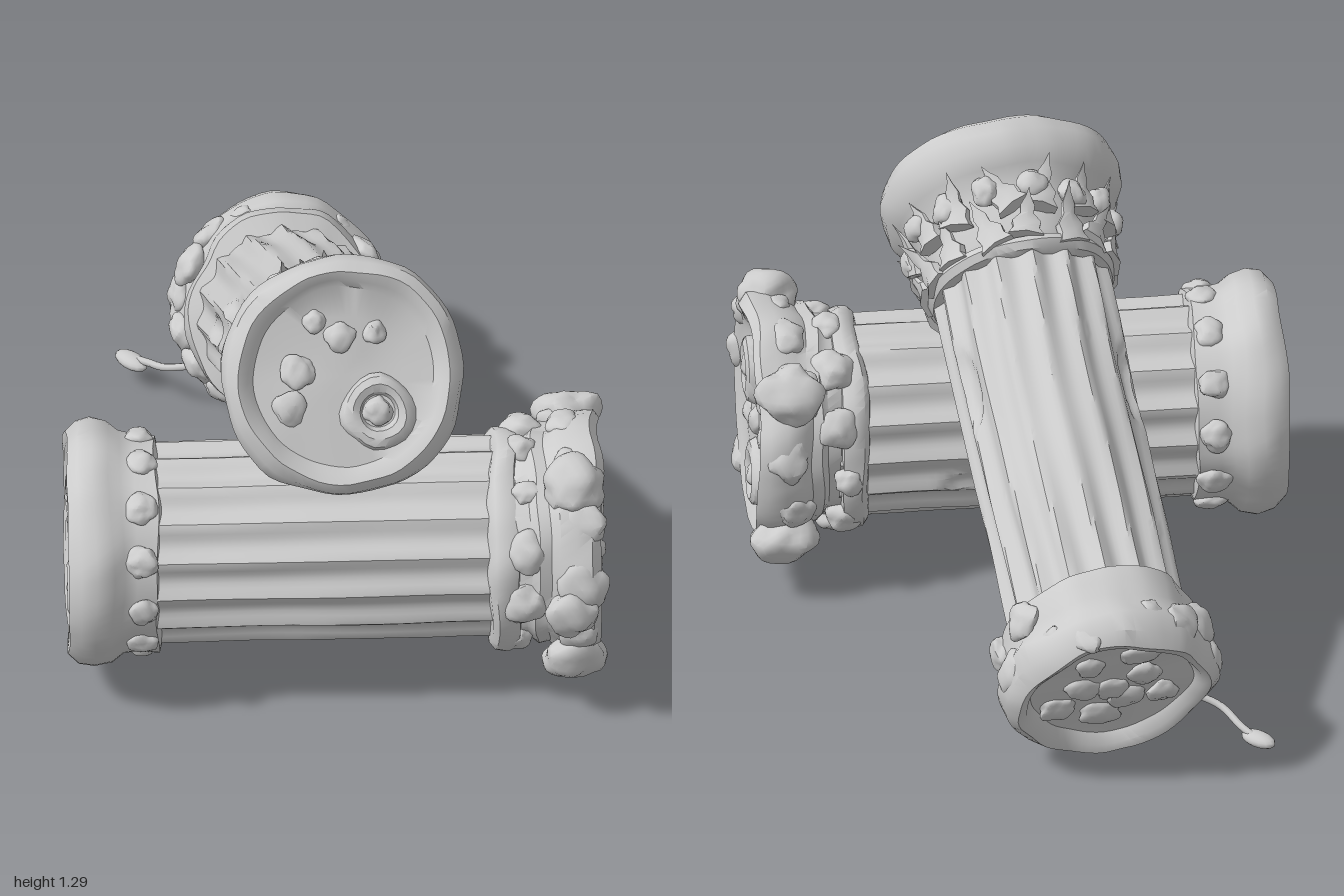
import * as THREE from 'three';
import { mergeVertices, toCreasedNormals } from 'three/addons/utils/BufferGeometryUtils.js';

const stone = new THREE.MeshStandardMaterial({ color: 0xcccccc, side: THREE.DoubleSide });
const V = (x, y, z) => new THREE.Vector3(x, y, z);

// Smooth pseudo-noise in about -1..1
const noise = (p, f, s) =>
  (Math.sin(p.x * f + s + 1.7 * Math.sin(p.y * f * 0.8 + s)) +
   Math.sin(p.y * f * 1.1 + s * 2.3 + 1.5 * Math.sin(p.z * f * 0.9)) +
   Math.sin(p.z * f * 0.9 + s * 1.7 + 1.3 * Math.sin(p.x * f * 1.2 + s))) / 3;

// Seeded random numbers
const seeded = (s) => () => ((s = (s * 16807) % 2147483647) / 2147483647);

// Weld a geometry, move each vertex by a rule, and sharpen only strong edges
function deform(geo, rule, crease = 0.75) {
  geo.deleteAttribute('uv');
  geo.deleteAttribute('normal');
  const g = mergeVertices(geo, 1e-4), pos = g.attributes.position, p = V(0, 0, 0);
  for (let i = 0; i < pos.count; i++) {
    rule(p.fromBufferAttribute(pos, i));
    pos.setXYZ(i, p.x, p.y, p.z);
  }
  return toCreasedNormals(g, crease);
}

function add(parent, name, geo) {
  const mesh = new THREE.Mesh(geo, stone);
  mesh.name = name;
  parent.add(mesh);
  return mesh;
}

// Uneven turned drum from a [radius, height] profile
function drum(profile, seed, rough) {
  const pts = profile.map(([r, y]) => new THREE.Vector2(r, y));
  return deform(new THREE.LatheGeometry(pts, 64), (p) => {
    const r = Math.hypot(p.x, p.z), k = 1 + (rough / 0.3) * (noise(p, 9, seed) + 0.7 * noise(p, 26, seed + 2));
    p.y += rough * 0.8 * noise(p, 17, seed + 4) * Math.min(1, r / 0.1);
    p.x *= k;
    p.z *= k;
  });
}

// Fluted shaft with worn ridges and long shallow chips [angle, height, depth]
function shaft(r, y0, y1, flutes, wear, chips, seed) {
  const geo = new THREE.CylinderGeometry(r, r, y1 - y0, flutes * 8, 50, true);
  geo.translate(0, (y0 + y1) / 2, 0);
  return deform(geo, (p) => {
    const a = Math.atan2(p.x, p.z);
    const groove = Math.abs(Math.sin((a * flutes) / 2 + wear * 2 * noise(p, 4, seed)));
    let d = 0.022 * Math.pow(groove, 1.3) * (1 + wear * noise(p, 6, seed + 1));
    d += 0.004 * noise(p, 11, seed + 3);
    for (const [ca, cy, depth] of chips) {
      const u = (Math.atan2(Math.sin(a - ca), Math.cos(a - ca)) * r) / 0.045, v = (p.y - cy) / 0.14;
      d = Math.max(d, depth * (1 - THREE.MathUtils.smoothstep(u * u + v * v, 0.1, 1.2)));
    }
    const k = (r - d) / r;
    p.x *= k;
    p.z *= k;
  }, 0.6);
}

// Lumpy rounded stone
function lump(parent, name, pos, size, seed) {
  const geo = deform(new THREE.IcosahedronGeometry(1, 4), (p) =>
    p.multiplyScalar(1 + 0.24 * noise(p, 2.6, seed) + 0.1 * noise(p, 6, seed)));
  const mesh = add(parent, name, geo);
  mesh.position.copy(pos);
  mesh.scale.set(...size);
  return mesh;
}
const around = (a, r, y) => V(Math.sin(a) * r, y, Math.cos(a) * r);

// Stone set on the side of a drum: width, height and depth follow its angle
function sideLump(parent, name, a, r, y, size, seed) {
  lump(parent, name, around(a, r, y), size, seed).rotation.y = a;
}

// Carved ring with a knob inside, lying on an end face
function rosette(parent, x, y, z, r, seed) {
  const geo = deform(new THREE.TorusGeometry(r * 0.75, r * 0.3, 8, 22).rotateX(Math.PI / 2), (p) =>
    p.multiplyScalar(1 + 0.18 * noise(p, 28, seed)));
  add(parent, 'rosetteRing', geo).position.set(x, y, z);
  lump(parent, 'rosetteKnob', V(x, y, z), [r * 0.4, r * 0.35, r * 0.4], seed);
}

// Pointed leaf curling away from the drum
function leaf(parent, a, r, y, len, width, lean, twist) {
  const geo = deform(new THREE.ConeGeometry(width, len, 6, 6), (p) => {
    const t = p.y / len + 0.5;
    p.x *= 1 + 0.25 * Math.sin(t * 22);
    p.z = p.z * 0.5 + lean * t * t;
  });
  const mesh = add(parent, 'leaf', geo);
  mesh.position.copy(around(a, r, y));
  mesh.rotation.set(0, a, twist);
}

// Stand a column's local y axis along the line from one end to the other
function place(column, from, to) {
  const y = to.clone().sub(from).normalize();
  const z = V(0, 1, 0).addScaledVector(y, -y.y).normalize();
  column.quaternion.setFromRotationMatrix(new THREE.Matrix4().makeBasis(y.clone().cross(z), y, z));
  column.position.copy(from);
}

function lyingColumn() {
  const g = new THREE.Group(), rnd = seeded(41);
  g.name = 'lyingColumn';
  add(g, 'shaft', shaft(0.272, 0.12, 1.2, 16, 0.12,
    [[-1.5, 0.62, 0.035], [-1.9, 0.8, 0.03], [-2.4, 0.5, 0.03]], 1));
  add(g, 'base', drum([[0, 0.035], [0.08, 0.035], [0.16, 0.035], [0.235, 0.03], [0.26, 0.005], [0.29, 0],
    [0.316, 0.03], [0.322, 0.07], [0.312, 0.115], [0.29, 0.145], [0.284, 0.18], [0.282, 0.235], [0.24, 0.245]], 3, 0.011));
  add(g, 'neckRing', drum([[0.25, 1.12], [0.278, 1.125], [0.297, 1.14], [0.3, 1.17], [0.288, 1.195], [0.25, 1.2]], 5, 0.012));
  add(g, 'capital', drum([[0.25, 1.17], [0.272, 1.19], [0.272, 1.225], [0.295, 1.245], [0.292, 1.275], [0.318, 1.3],
    [0.332, 1.35], [0.326, 1.395], [0.3, 1.418], [0.265, 1.405], [0.24, 1.39], [0.16, 1.387], [0.08, 1.387], [0, 1.387]], 8, 0.016));
  // Beads behind the base rim
  for (let i = 0; i < 12; i++)
    sideLump(g, 'bead', (i / 12) * Math.PI * 2 + 0.1, 0.28, 0.195, [0.042, 0.042, 0.026], i);
  // Broken ornament around the capital
  for (let i = 0; i < 11; i++) {
    const a = (i / 11) * Math.PI * 2 + 0.3, s = 0.035 + 0.025 * rnd();
    sideLump(g, 'capitalScroll', a, 0.307, 1.31 + 0.06 * rnd(), [s * 1.3, s * 1.2, s * 0.75], i + 20);
    sideLump(g, 'neckScroll', a + 0.25, 0.28, 1.17 + 0.05 * rnd(), [s, s, s * 0.75], i + 40);
  }
  // Large corner scrolls
  for (const a of [0.55, 2.35, -2.35, -0.85])
    sideLump(g, 'cornerScroll', a, 0.325, 1.34, [0.085, 0.085, 0.065], a * 5);
  sideLump(g, 'cornerScroll', 1.65, 0.33, 1.33, [0.07, 0.075, 0.05], 3);
  // End face carvings
  rosette(g, 0.06, 1.395, 0.13, 0.09, 2);
  rosette(g, -0.06, 1.395, -0.13, 0.085, 6);
  for (const [x, z] of [[-0.17, 0.03], [0.13, -0.05], [-0.11, 0.12], [0.02, -0.01]])
    lump(g, 'faceBoss', V(x, 1.387, z), [0.035, 0.022, 0.04], x * 40);
  for (const [x, z] of [[0.1, 0.08], [-0.1, 0.08], [0.02, -0.13]]) rosette(g, x, 0.025, z, 0.075, x * 30);
  lump(g, 'faceBoss', V(0, 0.035, 0.15), [0.04, 0.022, 0.035], 9);
  return g;
}

function leaningColumn() {
  const g = new THREE.Group(), rnd = seeded(97);
  g.name = 'leaningColumn';
  add(g, 'shaft', shaft(0.241, 0.15, 1.32, 15, 0.4,
    [[-1.2, 0.95, 0.03], [1.5, 0.62, 0.035], [1.1, 0.9, 0.03], [-1.9, 0.6, 0.03]], 12));
  add(g, 'base', drum([[0, 0.04], [0.07, 0.04], [0.14, 0.04], [0.215, 0.035], [0.235, 0.005], [0.26, -0.005],
    [0.284, 0.03], [0.288, 0.09], [0.272, 0.125], [0.264, 0.16], [0.276, 0.2], [0.268, 0.24], [0.22, 0.255]], 14, 0.018));
  add(g, 'neckRing', drum([[0.22, 1.265], [0.245, 1.27], [0.258, 1.29], [0.247, 1.31], [0.22, 1.315]], 15, 0.008));
  add(g, 'capital', drum([[0.22, 1.3], [0.238, 1.33], [0.245, 1.42], [0.265, 1.48], [0.297, 1.505], [0.32, 1.545],
    [0.326, 1.59], [0.314, 1.63], [0.287, 1.65], [0.26, 1.637], [0.242, 1.617], [0.16, 1.613], [0.08, 1.613], [0, 1.613]], 17, 0.01));
  // Two bushy rows of leaves and small buds under the rim
  for (let i = 0; i < 14; i++) {
    const a = (i / 14) * Math.PI * 2;
    leaf(g, a, 0.245, 1.36, 0.11 + 0.05 * rnd(), 0.055, 0.04 + 0.04 * rnd(), rnd() - 0.5);
    leaf(g, a + 0.22, 0.26, 1.45, 0.12 + 0.04 * rnd(), 0.055, 0.04 + 0.03 * rnd(), rnd() - 0.5);
    sideLump(g, 'bud', a + 0.1, 0.27, 1.4 + 0.08 * rnd(), [0.04, 0.04, 0.03], i);
  }
  // Crumbled edge of the base
  for (let i = 0; i < 18; i++) {
    const s = 0.03 + 0.02 * rnd();
    sideLump(g, 'brokenEdge', i * 0.35, 0.268, 0.03 + 0.2 * rnd(), [s * 1.2, s * 1.2, s * 0.7], i + 60);
  }
  // End face carvings
  rosette(g, -0.085, 1.615, -0.1, 0.095, 4);
  for (const [x, z, s] of [[0, 0.1, 0.04], [0.12, 0.02, 0.045], [0.15, -0.08, 0.05], [-0.09, 0.11, 0.03], [0.07, 0.15, 0.03]])
    lump(g, 'faceBoss', V(x, 1.613, z), [s, 0.024, s], x * 50);
  for (let i = 0; i < 9; i++) {
    const r = 0.06 * Math.sqrt(i);
    lump(g, 'faceRubble', around(i * 2.4, r, 0.035), [0.035 + 0.025 * rnd(), 0.022, 0.045], i + 80);
  }
  return g;
}

// Thin splinter that swells to a drop at its end
function splinter() {
  const curve = new THREE.CatmullRomCurve3(
    [V(0.05, 0.17, -0.76), V(-0.015, 0.14, -0.82), V(-0.04, 0.11, -0.9), V(-0.07, 0.09, -0.97)]);
  const g = new THREE.Group();
  g.name = 'splinter';
  add(g, 'splinterStem', new THREE.TubeGeometry(curve, 16, 0.01, 8));
  const tip = add(g, 'splinterTip', new THREE.SphereGeometry(1, 14, 10));
  tip.position.set(-0.066, 0.091, -0.945);
  tip.rotation.y = 0.4;
  tip.scale.set(0.029, 0.02, 0.055);
  return g;
}

export function createModel() {
  const model = new THREE.Group();
  model.name = 'fallenColumns';
  const lying = lyingColumn(), leaning = leaningColumn();
  place(lying, V(-0.672, 0.412, 0.195), V(0.66, 0.42, 0.648));
  place(leaning, V(0.308, 0.257, -0.845), V(-0.023, 1.046, 0.57));
  model.add(lying, leaning, splinter());
  return model;
}
